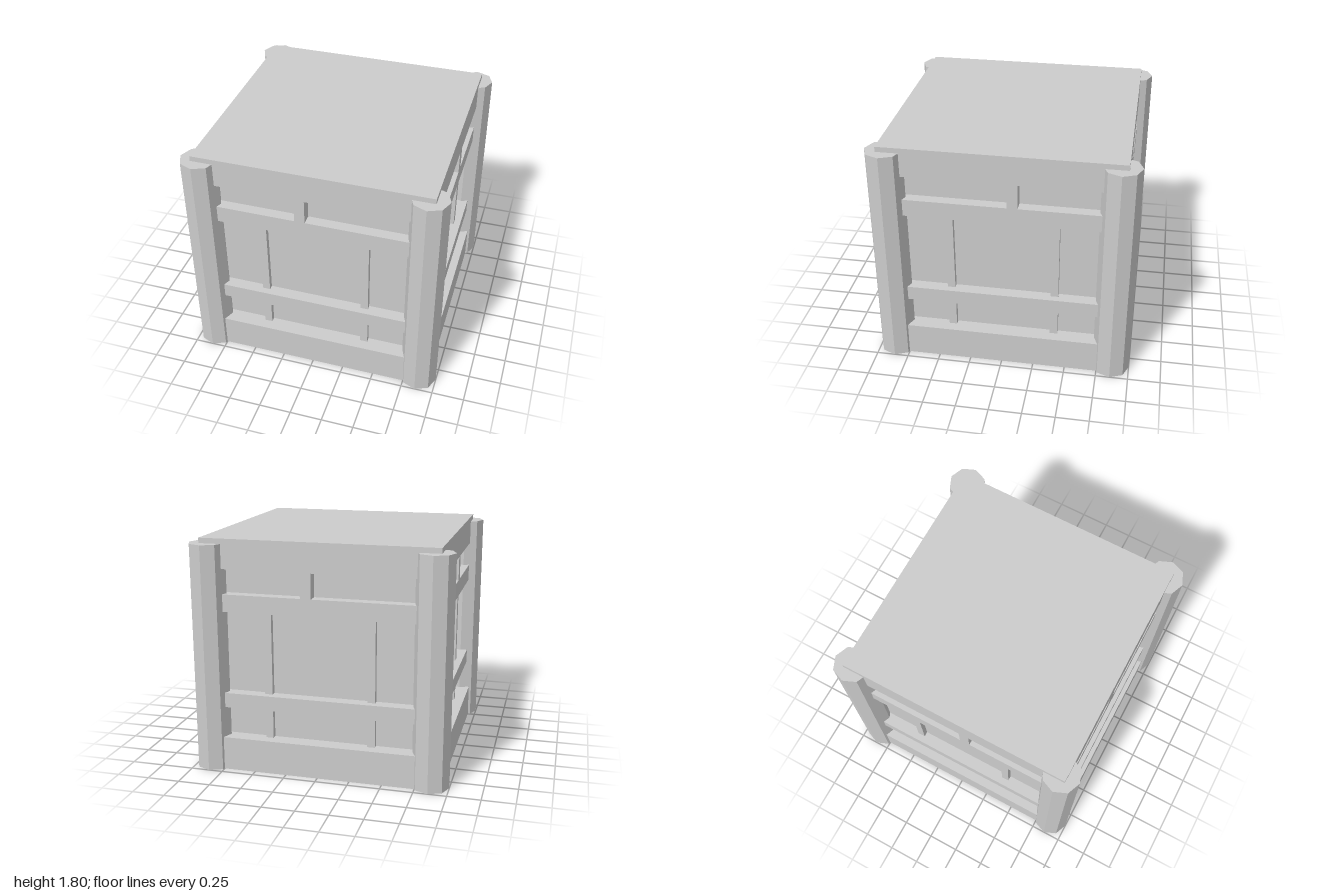
import * as THREE from 'three';

const material = new THREE.MeshStandardMaterial({
  color: 0xcccccc, flatShading: true, side: THREE.DoubleSide
});

// Box given by its lower and upper limits on each axis
function box(name, [x0, x1], [y0, y1], [z0, z1]) {
  const mesh = new THREE.Mesh(new THREE.BoxGeometry(x1 - x0, y1 - y0, z1 - z0), material);
  mesh.name = name;
  mesh.position.set((x0 + x1) / 2, (y0 + y1) / 2, (z0 + z1) / 2);
  return mesh;
}

// Hollow board: only its top ledge and front face, open below and behind
function hollowBoard(name, xs, ys, zs) {
  const board = box(name, xs, ys, zs);
  const index = Array.from(board.geometry.index.array);
  board.geometry.setIndex([...index.slice(12, 18), ...index.slice(24, 30)]);
  board.geometry.clearGroups();
  return board;
}

// One framed side, built facing +z
function createSide(mullionX) {
  const side = new THREE.Group();
  const span = [-0.78, 0.78];
  side.add(
    box('wallPanel', span, [0.262, 1.6], [0.81, 0.818]),
    hollowBoard('bottomBoard', span, [0, 0.262], [0.818, 0.94]),
    box('middleRail', span, [0.5, 0.615], [0.803, 0.912]),
    box('upperRail', span, [1.252, 1.386], [0.815, 0.903]),
    box('friezeMullion', [mullionX - 0.04, mullionX + 0.04], [1.37, 1.59], [0.815, 0.903])
  );
  // Narrow upright battens behind the rails
  for (const x of [-0.4, 0.4]) {
    side.add(box('batten', [x - 0.03, x + 0.03], [0.25, 1.28], [0.815, 0.858]));
  }
  return side;
}

export function createModel() {
  const model = new THREE.Group();
  model.name = 'panelledPedestal';

  // Octagonal corner posts, capped on top and open underneath
  const postProfile = [[0.142, 0], [0.142, 1.765], [0, 1.765]];
  const postGeometry = new THREE.LatheGeometry(
    postProfile.map(([r, y]) => new THREE.Vector2(r, y)), 8
  );
  for (const x of [-0.858, 0.858]) {
    for (const z of [-0.858, 0.858]) {
      const post = new THREE.Mesh(postGeometry, material);
      post.name = 'cornerPost';
      post.position.set(x, 0, z);
      model.add(post);
    }
  }

  // Four sides; the frieze mullion is off centre, alternating
  ['frontSide', 'leftSide', 'backSide', 'rightSide'].forEach((name, i) => {
    const side = createSide(i % 2 ? 0.085 : -0.085);
    side.name = name;
    side.rotation.y = (i * Math.PI) / 2;
    model.add(side);
  });

  // Deep top block, rising just above the posts
  model.add(box('topBlock', [-0.905, 0.905], [1.578, 1.805], [-0.905, 0.905]));
  return model;
}
